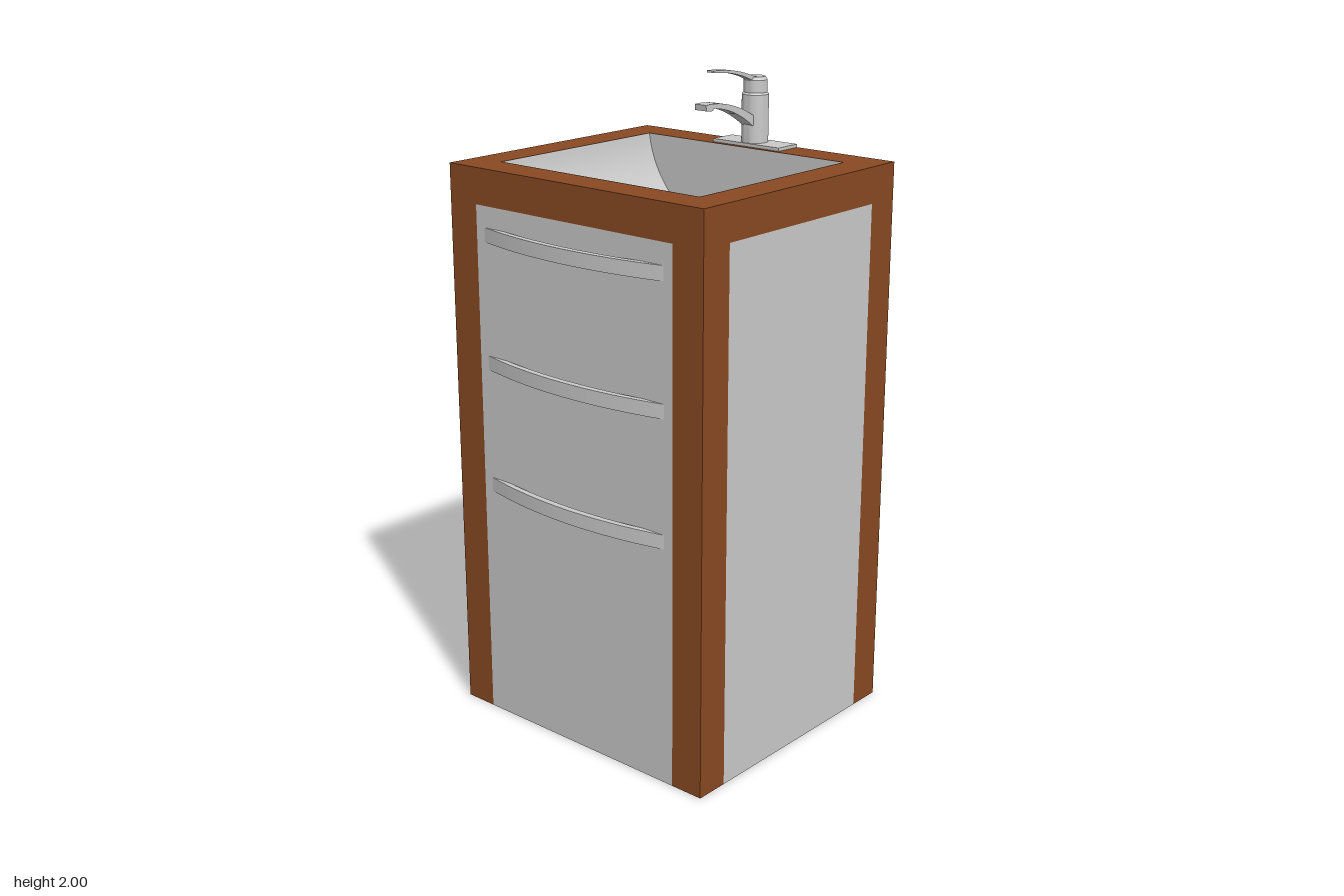
import * as THREE from 'three';
import { toCreasedNormals } from 'three/addons/utils/BufferGeometryUtils.js';

const W = 0.49, BACK = -0.46, FRONT = 0.415, TOP = 1.75, POST = 0.108;
const MID_Z = (BACK + FRONT) / 2, DEPTH = FRONT - BACK;

export function createModel() {
  const model = new THREE.Group();
  model.name = 'washstand';
  const wood = new THREE.MeshStandardMaterial({ name: 'brown wood', color: 0x894922 });
  const grey = new THREE.MeshStandardMaterial({ name: 'light grey', color: 0xcacaca, side: THREE.DoubleSide });

  const add = (name, geometry, material, x = 0, y = 0, z = 0, parent = model) => {
    const mesh = new THREE.Mesh(geometry, material);
    mesh.name = name;
    mesh.position.set(x, y, z);
    parent.add(mesh);
    return mesh;
  };
  const box = (name, material, w, h, d, x, y, z) =>
    add(name, new THREE.BoxGeometry(w, h, d), material, x, y, z);
  // Extrudes a shape centred on its own thickness, with smooth curves and sharp edges
  const extrude = (shape, depth) => {
    const g = new THREE.ExtrudeGeometry(shape, { depth, bevelEnabled: false, curveSegments: 16 });
    g.translate(0, 0, -depth / 2);
    return toCreasedNormals(g, 0.6);
  };

  // Corner posts
  const frameY = TOP - 0.11;
  for (const sx of [-1, 1]) for (const sz of [-1, 1])
    box('cornerPost', wood, POST, frameY, POST,
      sx * (W - POST / 2), frameY / 2, MID_Z + sz * (DEPTH - POST) / 2);

  // Countertop frame with the basin opening
  const hw = W - POST + 0.002, z0 = BACK + POST, z1 = FRONT - POST;
  const top = new THREE.Shape([
    new THREE.Vector2(-W, BACK), new THREE.Vector2(W, BACK),
    new THREE.Vector2(W, FRONT), new THREE.Vector2(-W, FRONT)]);
  top.holes.push(new THREE.Path([
    new THREE.Vector2(-hw, z0), new THREE.Vector2(-hw, z1),
    new THREE.Vector2(hw, z1), new THREE.Vector2(hw, z0)]));
  add('countertop', extrude(top, 0.11).rotateX(Math.PI / 2), wood, 0, TOP - 0.055, 0);

  // Flush panels on all four sides; the bottom is open
  const t = 0.008, pw = 2 * (W - POST), pd = DEPTH - 2 * POST;
  box('frontPanel', grey, pw, frameY, t, 0, frameY / 2, FRONT - t / 2);
  box('backPanel', grey, pw, frameY, t, 0, frameY / 2, BACK + t / 2);
  for (const s of [-1, 1])
    box('sidePanel', grey, t, frameY, pd, s * (W - t / 2), frameY / 2, MID_Z);

  // Basin: flat floor, curved sides, upright front and back walls
  const basin = new THREE.Group();
  basin.name = 'basin';
  model.add(basin);
  const floorY = 1.54, floorX = 0.267, rim = hw - 0.002, bz0 = z0 + 0.002, bz1 = z1 - 0.002;
  const sideCurve = s => new THREE.QuadraticBezierCurve(
    new THREE.Vector2(s * rim, TOP), new THREE.Vector2(s * 0.366, 1.63), new THREE.Vector2(s * floorX, floorY));
  for (const s of [-1, 1]) {
    const curve = sideCurve(s);
    const g = new THREE.PlaneGeometry(1, 1, 14, 1);
    const p = g.attributes.position;
    for (let i = 0; i < p.count; i++) {
      const u = 0.5 - s * p.getX(i); // keeps the inside as the front face
      const c = curve.getPoint(Math.min(1, Math.max(0, 1 - u)));
      p.setXYZ(i, c.x, c.y, p.getY(i) > 0 ? bz0 : bz1);
    }
    // Along-curve direction is mirrored so both sides face inward
    g.computeVertexNormals();
    add('basinSide', g, grey, 0, 0, 0, basin);
  }
  const floor = new THREE.PlaneGeometry(2 * floorX, bz1 - bz0).rotateX(-Math.PI / 2);
  add('basinFloor', floor, grey, 0, floorY, (bz0 + bz1) / 2, basin);
  const wall = new THREE.Shape([
    ...sideCurve(-1).getPoints(14), ...sideCurve(1).getPoints(14).reverse()]);
  for (const z of [bz0, bz1])
    add('basinWall', new THREE.ShapeGeometry(wall), grey, 0, 0, z, basin);
  add('drain', new THREE.CylinderGeometry(0.045, 0.045, 0.005, 32), grey, 0, floorY + 0.0025, -0.025, basin);

  // Bowed drawer handles
  const bow = new THREE.Shape();
  bow.moveTo(-0.35, FRONT);
  bow.lineTo(-0.27, FRONT);
  bow.quadraticCurveTo(0, 0.459, 0.27, FRONT);
  bow.lineTo(0.35, FRONT);
  bow.quadraticCurveTo(0, 0.501, -0.35, FRONT);
  for (const y of [1.553, 1.16, 0.77])
    add('drawerHandle', extrude(bow, 0.044).rotateX(Math.PI / 2), grey, 0, y, 0);

  // Tap
  const tap = new THREE.Group();
  tap.name = 'tap';
  model.add(tap);
  add('tapPlate', new THREE.BoxGeometry(0.26, 0.01, 0.093), grey, 0, TOP + 0.005, BACK + 0.0465, tap);
  const profile = [[0, 1.755], [0.042, 1.755], [0.042, 1.908], [0.037, 1.914], [0.037, 1.952], [0.03, 1.962], [0, 1.963]];
  const body = new THREE.LatheGeometry(profile.map(([r, y]) => new THREE.Vector2(r, y)), 32);
  add('tapBody', toCreasedNormals(body, 0.5), grey, 0, 0, -0.413, tap);

  // Spout and lever are side profiles (z, y) given a width along x
  const spout = new THREE.Shape();
  spout.moveTo(-0.4, 1.815);
  spout.lineTo(-0.375, 1.815);
  spout.quadraticCurveTo(-0.28, 1.882, -0.185, 1.89);
  spout.lineTo(-0.183, 1.883);
  spout.lineTo(-0.152, 1.886);
  spout.lineTo(-0.15, 1.904);
  spout.quadraticCurveTo(-0.26, 1.91, -0.375, 1.848);
  spout.lineTo(-0.4, 1.835);
  add('tapSpout', extrude(spout, 0.044).rotateY(-Math.PI / 2), grey, 0, 0, 0, tap);

  const lever = new THREE.Shape();
  lever.moveTo(-0.4, 1.955);
  lever.lineTo(-0.375, 1.955);
  lever.quadraticCurveTo(-0.3, 1.988, -0.195, 1.994);
  lever.lineTo(-0.195, 2);
  lever.quadraticCurveTo(-0.3, 1.998, -0.385, 1.966);
  lever.lineTo(-0.4, 1.963);
  add('tapLever', extrude(lever, 0.026).rotateY(-Math.PI / 2), grey, 0, 0, 0, tap);

  return model;
}
